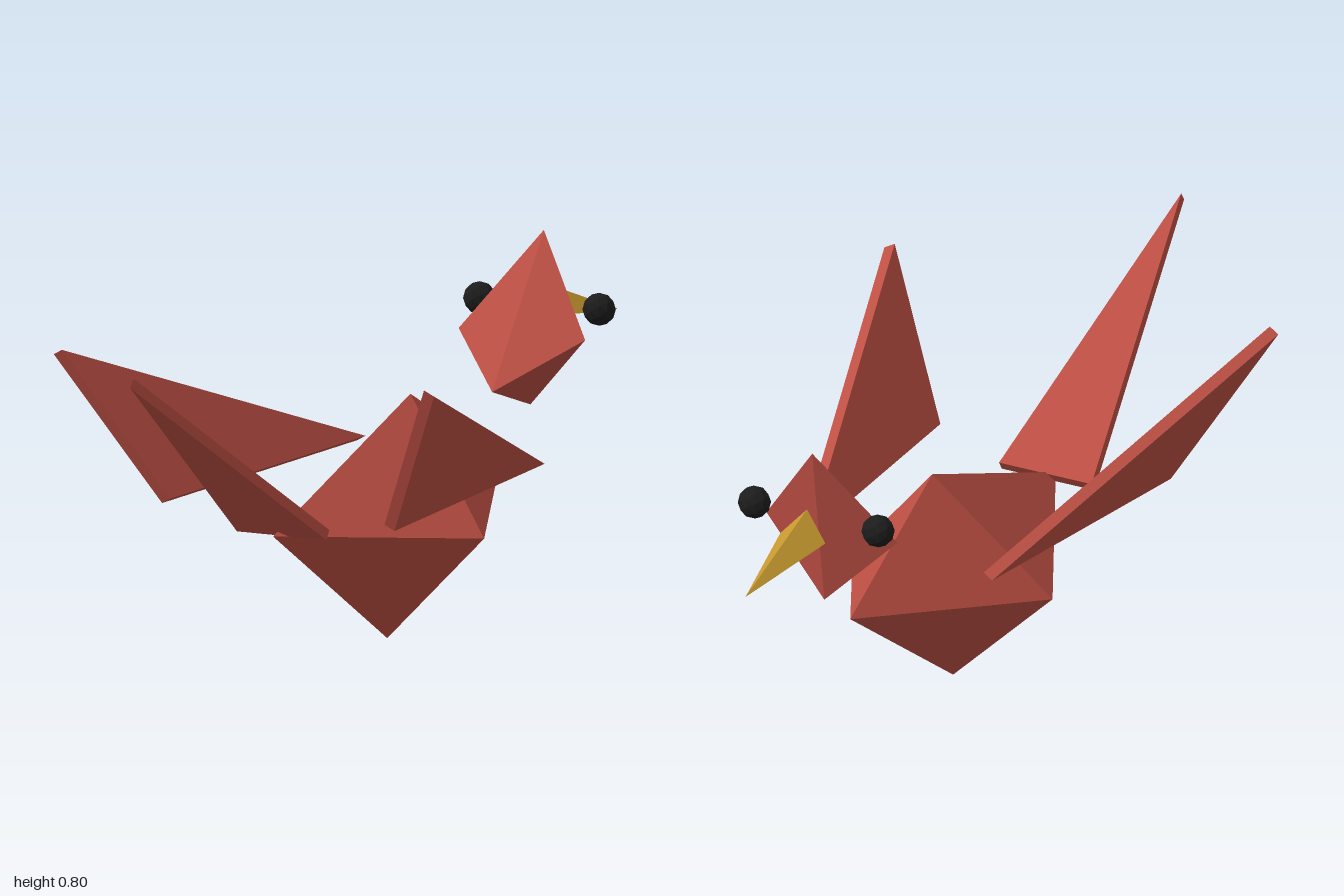
import * as THREE from 'three';
import { ConvexGeometry } from 'three/addons/geometries/ConvexGeometry.js';

const CX = -0.012; // centre line of body, head, tail and beak

export function createModel() {
  const bird = new THREE.Group();
  bird.name = 'bird';

  const material = (name, color) => {
    const m = new THREE.MeshStandardMaterial({ color, flatShading: true });
    m.name = name;
    return m;
  };
  const red = material('red', 0xbc4f43);
  const gold = material('gold', 0xc89a30);
  const black = material('black', 0x1c1c1c);

  const add = (name, geometry, mat) => {
    const mesh = new THREE.Mesh(geometry, mat);
    mesh.name = name;
    bird.add(mesh);
    return mesh;
  };
  // Faceted solid spanned by a few corner points
  const facet = (name, points, mat) =>
    add(name, new ConvexGeometry(points.map((p) => new THREE.Vector3(...p))), mat);
  // Thin triangular plate: corners plus the same corners shifted by an offset
  const plate = (name, corners, offset, mat) =>
    facet(name, [...corners, ...corners.map((c) => c.map((v, i) => v + offset[i]))], mat);

  // Body: stretched octahedron
  facet('body', [
    [CX, 0, -0.053], [CX, 0.52, -0.148],
    [CX, 0.333, -0.522], [CX, 0.285, 0.415],
    [CX - 0.244, 0.237, -0.055], [CX + 0.244, 0.237, -0.055],
  ], red);

  // Head: five-cornered wedge floating ahead of the body
  facet('head', [
    [CX, 0.803, -0.695], [CX, 0.478, -0.483], [CX, 0.43, -0.64],
    [CX - 0.16, 0.588, -0.605], [CX + 0.16, 0.588, -0.605],
  ], red);

  // Beak: slim tetrahedron
  facet('beak', [
    [CX, 0.68, -0.719], [CX, 0.59, -1],
    [CX - 0.055, 0.619, -0.738], [CX + 0.055, 0.619, -0.738],
  ], gold);

  // Tail: rising triangular plate
  plate('tail', [
    [CX - 0.113, 0.302, 0.367], [CX + 0.113, 0.302, 0.367], [CX, 0.707, 0.987],
  ], [0, -0.02, 0.013], red);

  // Wings and eyes on both sides
  for (const [side, label, lift] of [[1, 'left', 0], [-1, 'right', 0.012]]) {
    plate(label + 'Wing', [
      [side * 0.458, 0.662 + lift, 0.558],
      [side * 0.271, 0.334 + lift, 0.417],
      [side * 0.214, 0.38 + lift, -0.291],
    ], [side * 0.023, -0.012, -0.004], red);

    add(label + 'Eye', new THREE.IcosahedronGeometry(0.036, 1), black)
      .position.set(CX + side * 0.151, 0.645, -0.677);
  }

  return bird;
}
